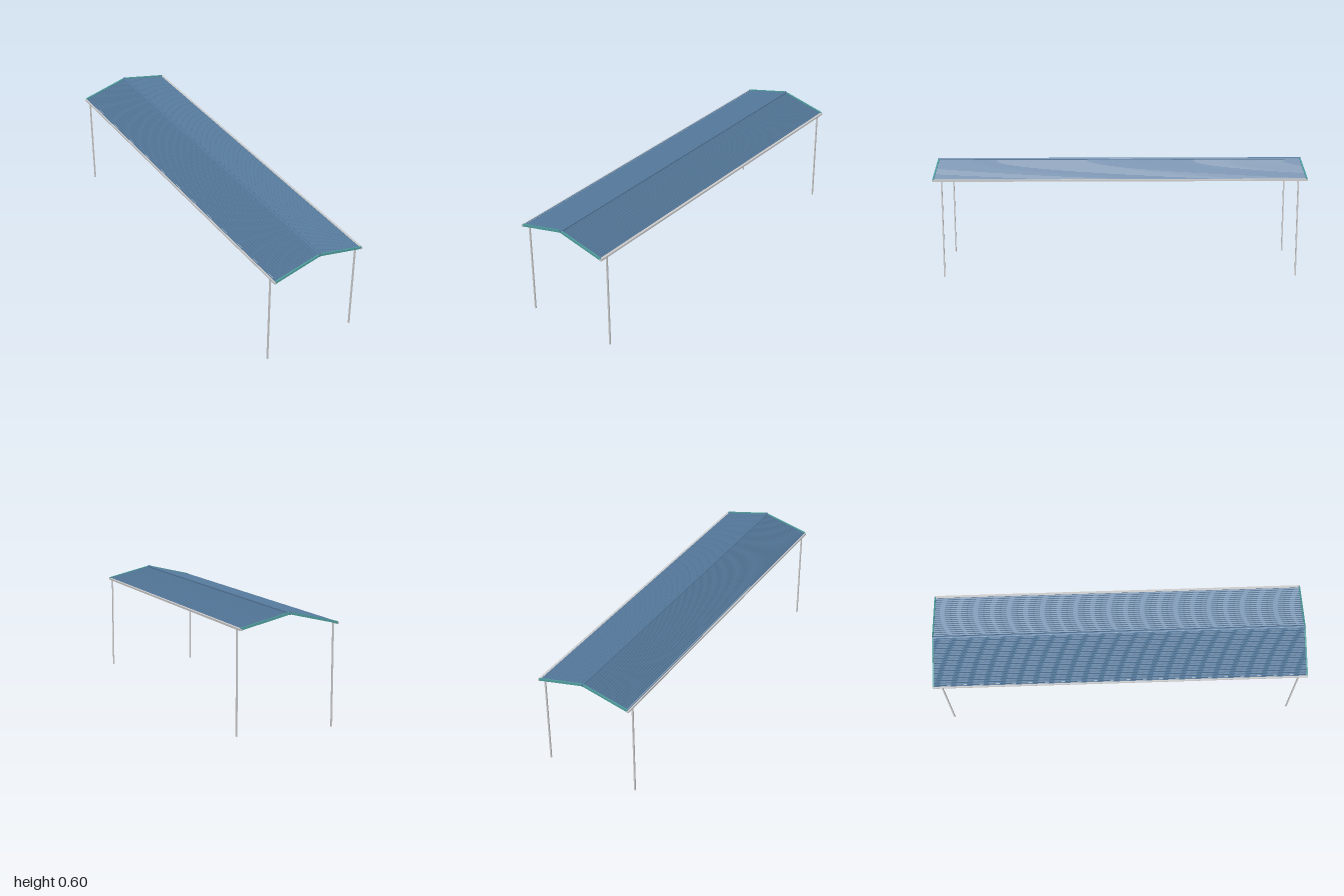
import * as THREE from 'three';

const HALF = 0.258, EAVE = 0.535, RIDGE = 0.596, LENGTH = 2;
const SLOPE = Math.atan2(RIDGE - EAVE, HALF);
const RUN = Math.hypot(HALF, RIDGE - EAVE);

const grey = new THREE.MeshStandardMaterial({ color: 0xcccccc });
const blue = new THREE.MeshStandardMaterial({ color: 0x55799c, flatShading: true });
const teal = new THREE.MeshStandardMaterial({ color: 0x4f9c9c });

function add(parent, name, geometry, material, x = 0, y = 0, z = 0) {
  const mesh = new THREE.Mesh(geometry, material);
  mesh.name = name;
  mesh.position.set(x, y, z);
  parent.add(mesh);
  return mesh;
}

// Corrugated sheet: a wavy strip, its ribs running along z
function corrugatedSheet(waves, amplitude, thickness) {
  const steps = waves * 8, top = [], bottom = [];
  for (let i = 0; i <= steps; i++) {
    const x = -RUN / 2 + RUN * i / steps;
    const y = amplitude * Math.sin(i / 8 * Math.PI * 2);
    top.push(new THREE.Vector2(x, y + thickness / 2));
    bottom.unshift(new THREE.Vector2(x, y - thickness / 2));
  }
  const length = LENGTH - 0.01;
  return new THREE.ExtrudeGeometry(new THREE.Shape([...top, ...bottom]), { depth: length, bevelEnabled: false })
    .translate(0, 0, -length / 2);
}

export function createModel() {
  const model = new THREE.Group();
  model.name = 'openShelter';

  const sheet = corrugatedSheet(20, 0.003, 0.002);
  const board = new THREE.BoxGeometry(RUN, 0.012, 0.008);
  const gutter = new THREE.BoxGeometry(0.015, 0.01, LENGTH);
  const post = new THREE.BoxGeometry(0.0075, 0.528, 0.0075);

  for (const side of [1, -1]) {
    // Sloping roof half with a trim board at each end
    const roof = new THREE.Group();
    roof.name = side > 0 ? 'leftRoof' : 'rightRoof';
    roof.position.set(side * HALF / 2, (EAVE + RIDGE) / 2, 0);
    roof.rotation.z = -side * SLOPE;
    add(roof, 'roofSheet', sheet, blue);
    for (const end of [1, -1]) add(roof, 'endBoard', board, teal, 0, 0, end * (LENGTH / 2 - 0.004));
    model.add(roof);

    // Eave beam and its posts
    add(model, 'eaveBeam', gutter, grey, side * HALF, 0.532, 0);
    for (const end of [1, -1]) add(model, 'post', post, grey, side * HALF, 0.264, end * 0.951);
  }

  // Round cap along the ridge
  const cap = new THREE.CylinderGeometry(0.0085, 0.0085, LENGTH, 16).rotateX(Math.PI / 2);
  add(model, 'ridgeCap', cap, blue, 0, RIDGE, 0);

  return model;
}
